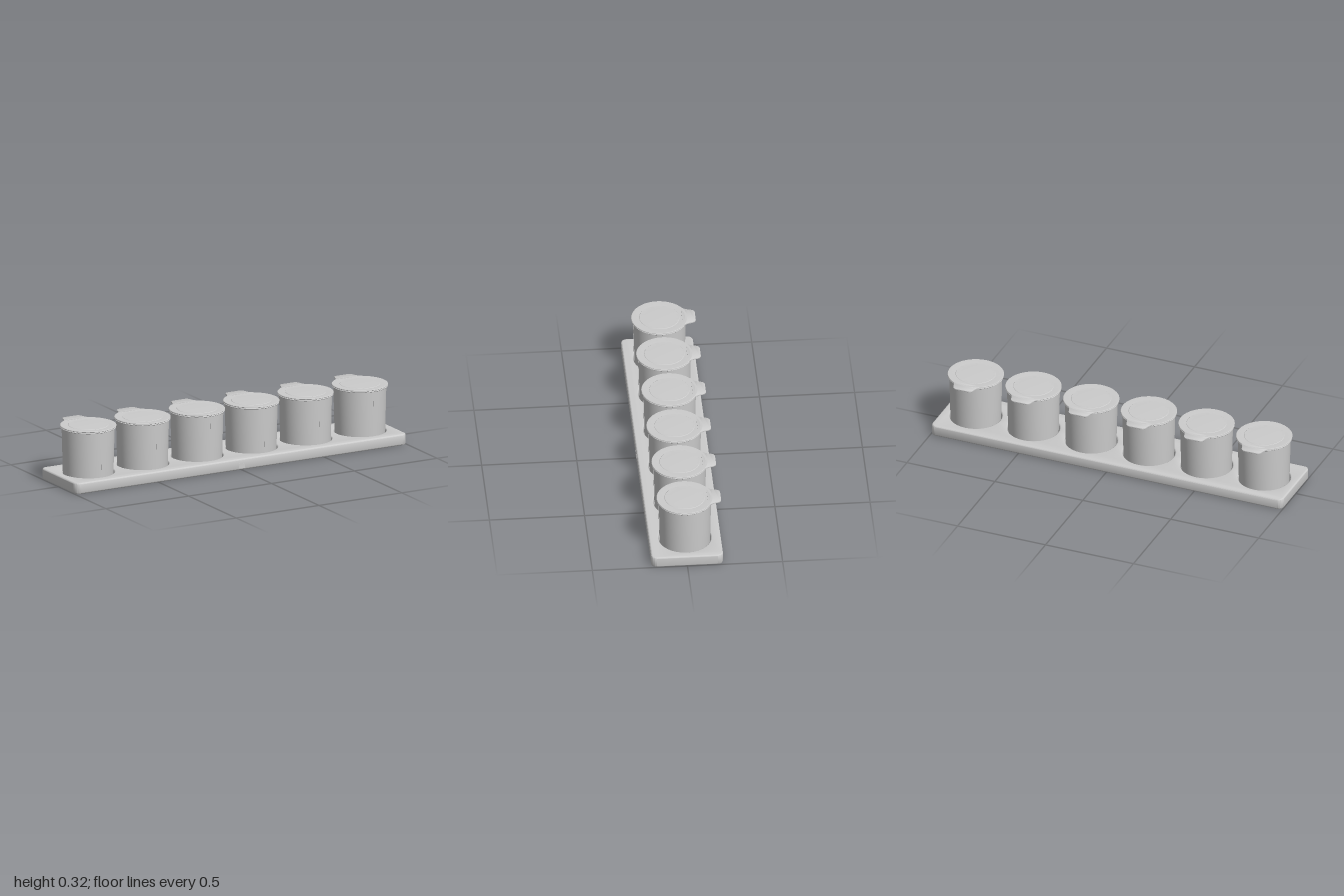
import * as THREE from 'three';
import { toCreasedNormals } from 'three/addons/utils/BufferGeometryUtils.js';

const CUPS = 6, SPACING = 0.328, HALF_DEPTH = 0.189;
const BASE_HEIGHT = 0.06, BEVEL = 0.008;
const cupX = (i) => (i - (CUPS - 1) / 2) * SPACING;

const material = new THREE.MeshStandardMaterial({ color: 0xcccccc });

function addMesh(parent, name, geometry, x = 0, y = 0, z = 0) {
  const mesh = new THREE.Mesh(toCreasedNormals(geometry, 0.6), material);
  mesh.name = name;
  mesh.position.set(x, y, z);
  parent.add(mesh);
  return mesh;
}

function lathe(points) {
  return new THREE.LatheGeometry(points.map(([r, y]) => new THREE.Vector2(r, y)), 64);
}

// Extrude a plan shape upwards (shape y becomes -z)
function extrudeUp(shape, height, bevel) {
  const geometry = new THREE.ExtrudeGeometry(shape, {
    depth: height - 2 * bevel,
    bevelEnabled: bevel > 0,
    bevelSize: bevel,
    bevelThickness: bevel,
    bevelOffset: -bevel,
    bevelSegments: 4,
    curveSegments: 16,
  });
  geometry.translate(0, 0, bevel);
  geometry.rotateX(-Math.PI / 2);
  return geometry;
}

function roundedRect(w, d, r) {
  const s = new THREE.Shape();
  s.absarc(w - r, -d + r, r, -Math.PI / 2, 0);
  s.absarc(w - r, d - r, r, 0, Math.PI / 2);
  s.absarc(-w + r, d - r, r, Math.PI / 2, Math.PI);
  s.absarc(-w + r, -d + r, r, Math.PI, Math.PI * 1.5);
  s.closePath();
  return s;
}

function createBase() {
  const base = new THREE.Group();
  base.name = 'base';

  // Tray with a round socket for every cup
  const outline = roundedRect(1, HALF_DEPTH, 0.03);
  for (let i = 0; i < CUPS; i++) {
    const hole = new THREE.Path();
    hole.absarc(cupX(i), 0, 0.137, 0, Math.PI * 2, true);
    outline.holes.push(hole);
  }
  addMesh(base, 'tray', extrudeUp(outline, BASE_HEIGHT, BEVEL));

  // Closed floor beneath the sockets
  const floor = roundedRect(1 - BEVEL, HALF_DEPTH - BEVEL, 0.022);
  addMesh(base, 'trayFloor', extrudeUp(floor, 0.01, 0));

  // Small catch in the middle of the front edge
  addMesh(base, 'frontCatch', new THREE.BoxGeometry(0.036, 0.026, 0.01), 0, 0.022, HALF_DEPTH - 0.0042);
  return base;
}

function createCup() {
  const cup = new THREE.Group();
  cup.name = 'cup';

  // Slightly tapered body with a rolled rim
  addMesh(cup, 'cupBody', lathe([
    [0, 0.01], [0.126, 0.01], [0.131, 0.016], [0.133, 0.06], [0.139, 0.299],
    [0.145, 0.300], [0.147, 0.302], [0.147, 0.304], [0.145, 0.306], [0, 0.306],
  ]));

  // Fine vertical seam down the front
  const seam = addMesh(cup, 'cupSeam', new THREE.BoxGeometry(0.014, 0.24, 0.004), 0.012, 0.179, 0.1345);
  seam.rotation.x = Math.atan2(0.006, 0.239);

  // Lid with a soft edge and a gently domed centre
  addMesh(cup, 'lid', lathe([
    [0, 0.305], [0.141, 0.305], [0.141, 0.3075], [0.146, 0.3075], [0.148, 0.309],
    [0.148, 0.312], [0.146, 0.314], [0.138, 0.3142], [0.112, 0.3125], [0.106, 0.3122],
    [0.104, 0.3138], [0.08, 0.3147], [0.04, 0.3153], [0, 0.3155],
  ]));

  // Pull tab flaring out of the back of the lid
  const tab = new THREE.Shape();
  tab.moveTo(-0.085, 0.118);
  tab.bezierCurveTo(-0.066, 0.134, -0.062, 0.148, -0.057, 0.168);
  tab.bezierCurveTo(-0.052, 0.184, -0.045, 0.189, -0.03, 0.189);
  tab.lineTo(0.03, 0.189);
  tab.bezierCurveTo(0.045, 0.189, 0.052, 0.184, 0.057, 0.168);
  tab.bezierCurveTo(0.062, 0.148, 0.066, 0.134, 0.085, 0.118);
  tab.closePath();
  addMesh(cup, 'lidTab', extrudeUp(tab, 0.0075, 0.002), 0, 0.3065, 0);
  return cup;
}

export function createModel() {
  const model = new THREE.Group();
  model.name = 'cupTray';
  model.add(createBase());

  // Row of identical lidded cups
  const cup = createCup();
  for (let i = 0; i < CUPS; i++) {
    const copy = cup.clone();
    copy.name = `cup${i + 1}`;
    copy.position.x = cupX(i);
    model.add(copy);
  }
  return model;
}
